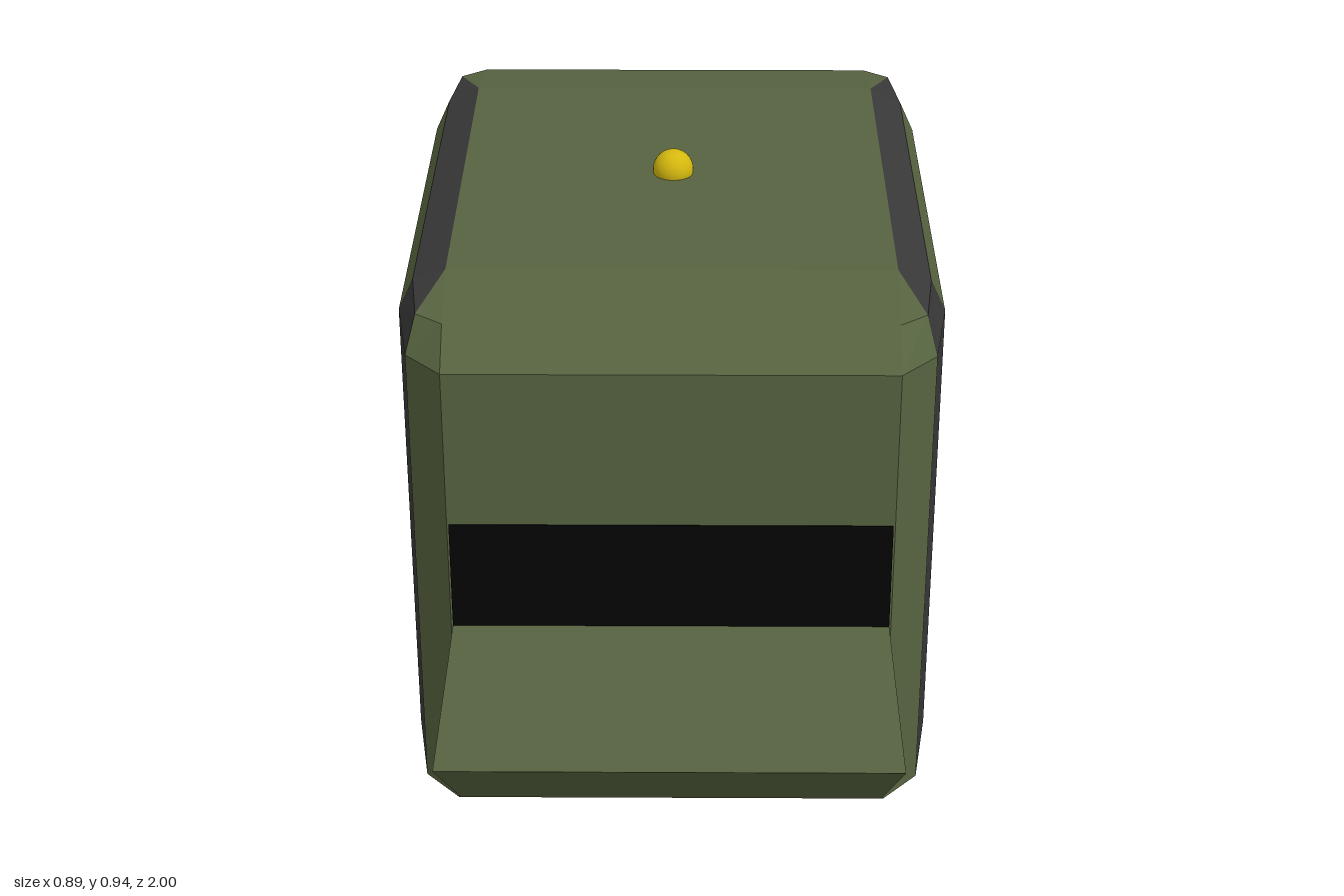
import * as THREE from 'three';

const GREEN = 0x56633f, DARK = 0x383838, BLACK = 0x050505, GOLD = 0xd4b80f;

function addMesh(parent, name, geometry, color, flatShading = true) {
  const mesh = new THREE.Mesh(geometry, new THREE.MeshStandardMaterial({ color, flatShading }));
  mesh.name = name;
  parent.add(mesh);
  return mesh;
}

// One corner (three points) mirrored into a closed 12-point outline.
function ring(y, corner) {
  const back = [...corner].reverse();
  const place = (pts, sx, sz) => pts.map(([x, z]) => [x * sx, y, z * sz]);
  return [...place(corner, 1, 1), ...place(back, 1, -1),
    ...place(corner, -1, -1), ...place(back, -1, 1)];
}

function geometryFrom(points) {
  const geo = new THREE.BufferGeometry();
  geo.setAttribute('position', new THREE.Float32BufferAttribute(points.flat(), 3));
  geo.computeVertexNormals();
  return geo;
}

// Chamfered shell, with the edge strips split off as dark faces.
function buildBody(group) {
  const outline = [[0.36, 0.6], [0.42, 0.535], [0.445, 0.375]];
  const top = [0.365, 0.385];
  const rings = [
    ring(0, outline),
    ring(0.815, outline),
    ring(0.87, [[0.36, 0.535], [0.405, 0.5], [0.42, 0.375]]),
    ring(0.893, [top, top, top]),
  ];
  const green = [], dark = [];
  const same = (a, b) => a.every((v, k) => v === b[k]);
  for (let i = 0; i < 12; i++) {
    const j = (i + 1) % 12;
    for (let b = 0; b < 3; b++) {
      const isDark = i % 6 === 1 || i % 6 === 3 || (i % 6 === 2 && b === 2);
      const out = isDark ? dark : green;
      const [p, q, r, s] = [rings[b][i], rings[b][j], rings[b + 1][j], rings[b + 1][i]];
      out.push(p, q, r);
      if (!same(r, s)) out.push(p, r, s);
    }
    // underside and roof
    green.push([0, 0, 0], rings[0][j], rings[0][i]);
    if (!same(rings[3][i], rings[3][j])) green.push([0, 0.893, 0], rings[3][i], rings[3][j]);
  }
  addMesh(group, 'bodyShell', geometryFrom(green), GREEN);
  addMesh(group, 'edgeStrips', geometryFrom(dark), DARK);
}

// Wedge-shaped tray with a flat top, and the slot opening above it.
function buildEnd(name, turn) {
  const end = new THREE.Group();
  end.name = name;
  const profile = new THREE.Shape([
    new THREE.Vector2(0.6, 0), new THREE.Vector2(1, 0.35), new THREE.Vector2(0.6, 0.35),
  ]);
  const wedge = new THREE.ExtrudeGeometry(profile, { depth: 0.714, bevelEnabled: false });
  wedge.translate(0, 0, -0.357).rotateY(-Math.PI / 2);
  addMesh(end, 'tray', wedge, GREEN);
  const slot = addMesh(end, 'slot', new THREE.BoxGeometry(0.714, 0.192, 0.01), BLACK);
  slot.position.set(0, 0.446, 0.597);
  end.rotation.y = turn;
  return end;
}

export function createModel() {
  const model = new THREE.Group();
  model.name = 'slottedBox';

  const body = new THREE.Group();
  body.name = 'body';
  buildBody(body);
  model.add(body);

  model.add(buildEnd('frontEnd', 0), buildEnd('backEnd', Math.PI));

  // Round knob half sunk into the roof
  const knob = addMesh(model, 'knob', new THREE.SphereGeometry(0.035, 32, 16), GOLD, false);
  knob.position.y = 0.9;

  return model;
}
